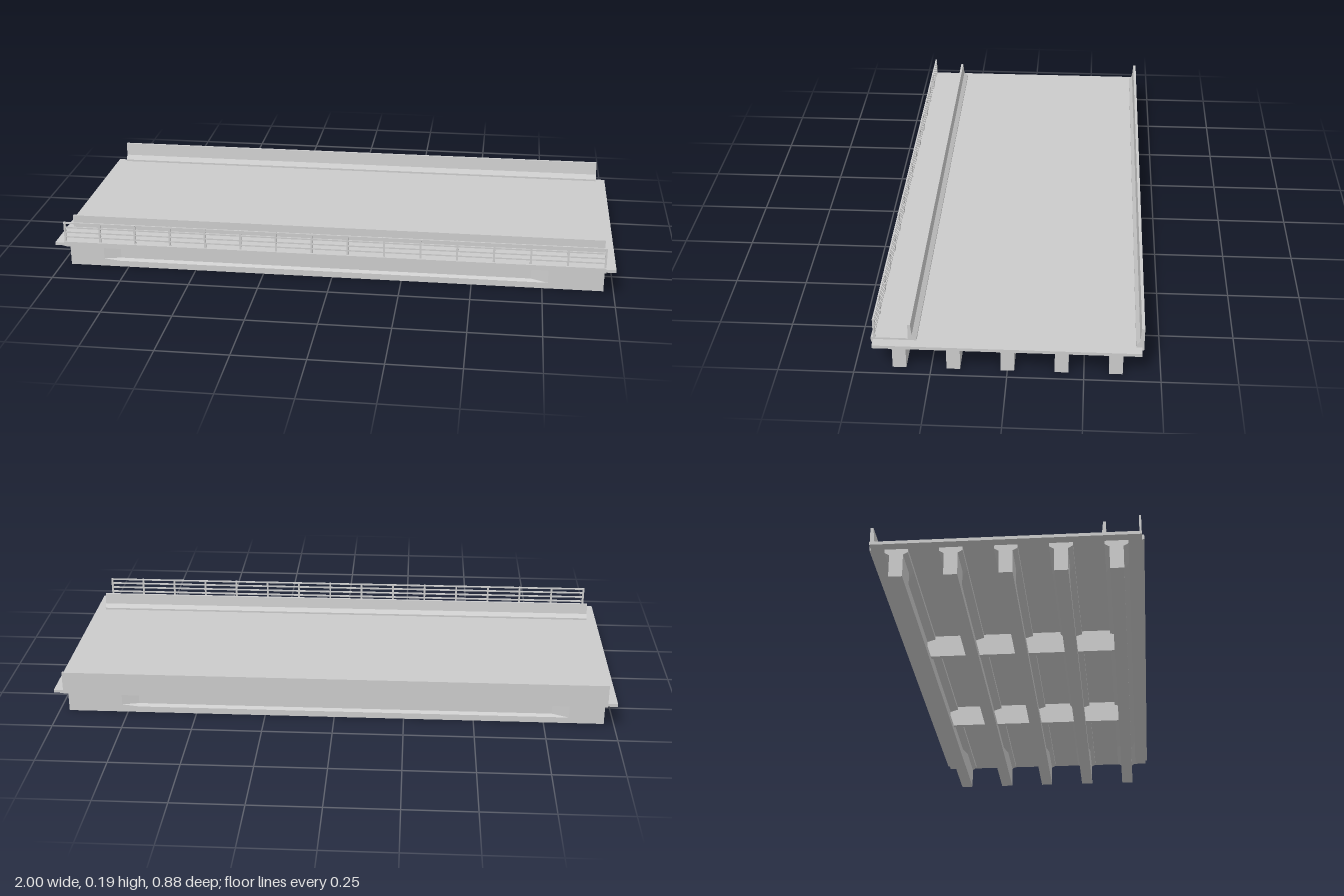
import * as THREE from 'three';

const LEN = 1.93; // length of girders, barriers and railing

export function createModel() {
  const root = new THREE.Group();
  const mat = new THREE.MeshStandardMaterial({ color: 0xcccccc, flatShading: true });

  const add = (name, geo, parent = root) => {
    const m = new THREE.Mesh(geo, mat);
    m.name = name;
    parent.add(m);
    return m;
  };
  const box = (name, w, h, d, x, y, z, parent) => {
    add(name, new THREE.BoxGeometry(w, h, d), parent).position.set(x, y, z);
  };
  const group = (name) => {
    const g = new THREE.Group();
    g.name = name;
    root.add(g);
    return g;
  };
  // Profile of [z, y] points swept along x
  const sweep = (name, pts, length) => {
    const shape = new THREE.Shape(pts.map(([z, y]) => new THREE.Vector2(-z, y)));
    const geo = new THREE.ExtrudeGeometry(shape, { depth: length, bevelEnabled: false });
    geo.translate(0, 0, -length / 2).rotateY(Math.PI / 2);
    return add(name, geo);
  };

  // Deck and raised sidewalk with a drip edge
  box('deck', 2, 0.011, 0.872, 0, 0.1055, 0);
  sweep('sidewalk', [[0.443, 0.1], [0.436, 0.1], [0.436, 0.11], [0.32, 0.11], [0.32, 0.118], [0.443, 0.118]], LEN);

  // Barriers with sloped feet on the road side
  sweep('innerBarrier', [[0.322, 0.11], [0.294, 0.11], [0.294, 0.118], [0.309, 0.131], [0.313, 0.171], [0.322, 0.171]], LEN);
  sweep('outerBarrier', [[-0.436, 0.1], [-0.442, 0.1], [-0.442, 0.183], [-0.432, 0.183], [-0.428, 0.135],
    [-0.416, 0.118], [-0.416, 0.11], [-0.436, 0.11]], LEN);

  // Railing: posts and horizontal bars
  const railing = group('railing');
  const bays = 15, railZ = 0.432;
  for (let i = 0; i <= bays; i++) {
    const x = (i / bays - 0.5) * (LEN - 0.007);
    box('railingPost', 0.007, 0.072, 0.007, x, 0.154, railZ, railing);
  }
  for (const y of [0.134, 0.152, 0.17, 0.187]) box('railingBar', LEN, 0.005, 0.006, 0, y, railZ, railing);

  // Girders: solid end blocks tapering to a thin web
  const girders = group('girders');
  const girderGeo = girderGeometry();
  const spacing = 0.177;
  for (let i = -2; i <= 2; i++) add('girder', girderGeo, girders).position.z = i * spacing;

  // Cross beams between girders at the third points
  const beams = group('crossBeams');
  for (const x of [-0.32, 0.32])
    for (let i = -1.5; i <= 1.5; i++) box('crossBeam', 0.02, 0.08, spacing - 0.018, x, 0.06, i * spacing, beams);

  return root;
}

// Cross-section of a girder for a given half width of web
function girderSection(web) {
  const half = [[0.0225, 0], [0.0225, 0.022], [web, 0.029], [web, 0.079], [0.038, 0.088], [0.038, 0.1]];
  const mirror = half.map(([z, y]) => [-z, y]).reverse();
  return [...half, ...mirror].map(([z, y]) => new THREE.Vector2(z, y));
}

// Joins the cross-sections along the girder and closes both ends
function girderGeometry() {
  const thick = 0.0225, thin = 0.009;
  const stations = [[-LEN / 2, thick], [-0.84, thick], [-0.78, thin], [0.71, thin], [0.77, thick], [LEN / 2, thick]];
  const rings = stations.map(([x, w]) => girderSection(w).map((p) => [x, p.y, -p.x]));
  const n = rings[0].length;
  const pos = [];
  const tri = (a, b, c) => pos.push(...a, ...b, ...c);
  for (let i = 0; i < rings.length - 1; i++) {
    for (let j = 0; j < n; j++) {
      const k = (j + 1) % n;
      tri(rings[i][j], rings[i][k], rings[i + 1][k]);
      tri(rings[i][j], rings[i + 1][k], rings[i + 1][j]);
    }
  }
  const first = rings[0], last = rings[rings.length - 1];
  for (const [a, b, c] of THREE.ShapeUtils.triangulateShape(girderSection(thick), [])) {
    tri(last[a], last[b], last[c]);
    tri(first[a], first[c], first[b]);
  }
  const geo = new THREE.BufferGeometry();
  geo.setAttribute('position', new THREE.Float32BufferAttribute(pos, 3));
  geo.computeVertexNormals();
  return geo;
}
